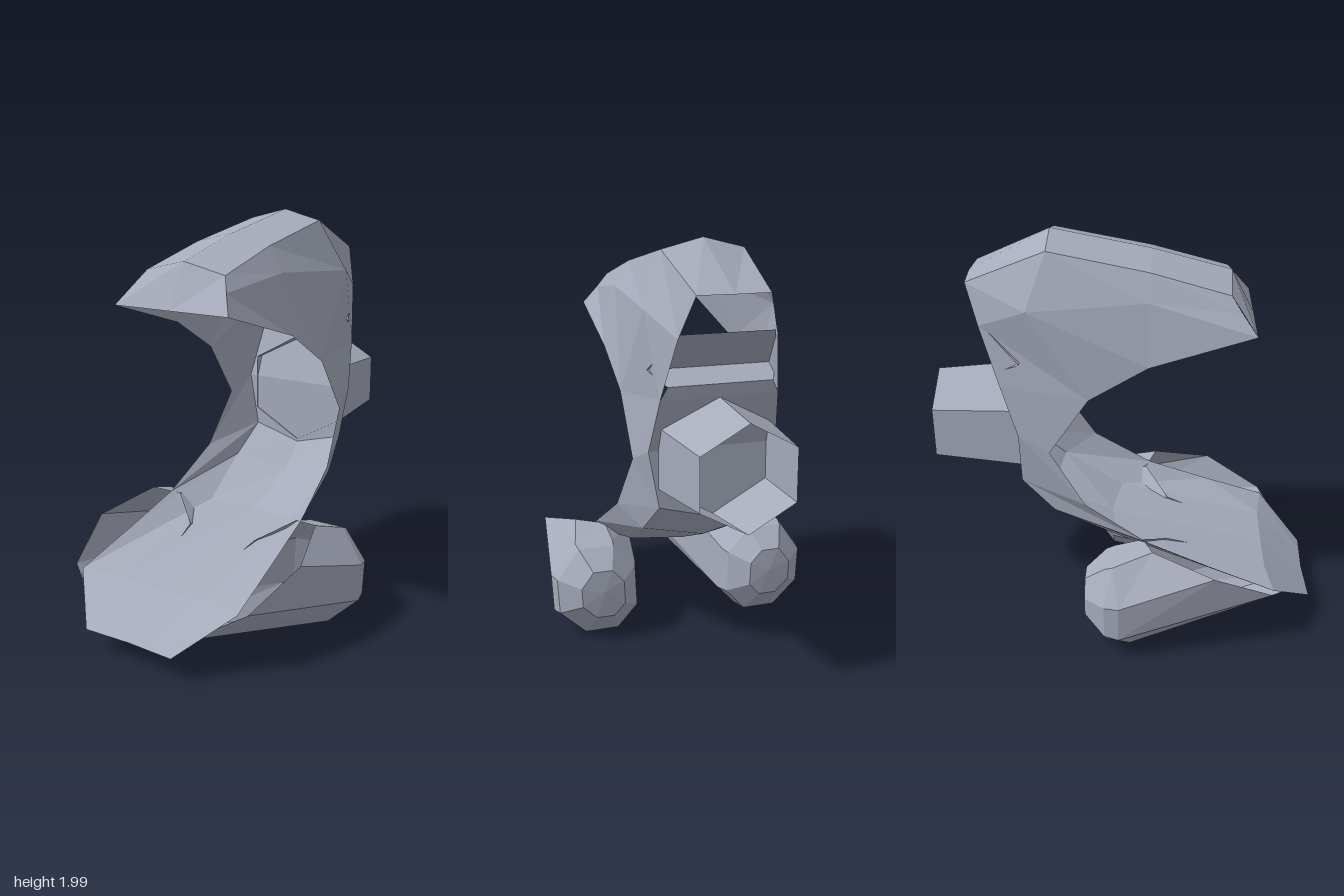
import * as THREE from 'three';

const grey = new THREE.MeshStandardMaterial({ color: 0xa6abbb, flatShading: true, side: THREE.DoubleSide });
grey.name = 'cool grey';

// Faceted sheet through rows of points
function sheet(name, rows) {
  const pos = [];
  const tri = (a, b, c) => pos.push(...a, ...b, ...c);
  for (let i = 0; i < rows.length - 1; i++) {
    for (let j = 0; j < rows[i].length - 1; j++) {
      const a = rows[i][j], b = rows[i][j + 1], c = rows[i + 1][j + 1], d = rows[i + 1][j];
      tri(a, b, c);
      tri(a, c, d);
    }
  }
  const geo = new THREE.BufferGeometry();
  geo.setAttribute('position', new THREE.Float32BufferAttribute(pos, 3));
  geo.computeVertexNormals();
  const mesh = new THREE.Mesh(geo, grey);
  mesh.name = name;
  return mesh;
}

// Half row from the left edge to the middle, completed on the other side
const mirrored = (row) => [...row, ...row.slice(0, -1).reverse().map(([x, y, z]) => [-x, y, z])];
const symmetric = (name, rows) => sheet(name, rows.map(mirrored));

function pair(group, name, rows) {
  for (const side of [1, -1]) {
    const mesh = sheet((side > 0 ? 'left' : 'right') + name, rows);
    mesh.scale.x = side;
    group.add(mesh);
  }
}

export function createModel() {
  const model = new THREE.Group();
  model.name = 'model';

  // Hood, back to front
  const sideBack = [0.28, 1.32, -0.6], sideMid = [0.34, 1.28, -0.18];
  model.add(symmetric('hood', [
    [sideBack, [0.23, 1.6, -0.69], [0.17, 1.79, -0.75], [0, 1.79, -0.76]],
    [sideMid, [0.31, 1.7, -0.46], [0.2, 1.95, -0.37], [0, 2, -0.37]],
    [[0.34, 1.45, 0.1], [0.28, 1.74, 0.1], [0.21, 1.86, 0.1], [0, 1.91, 0.1]],
    [[0.32, 1.6, 0.59], [0.26, 1.69, 0.52], [0.22, 1.76, 0.47], [0, 1.81, 0.48]],
  ]));
  model.add(symmetric('hoodLip', [
    [[0.22, 1.76, 0.47], [0, 1.81, 0.48]],
    [[0.32, 1.6, 0.59], [0, 1.6, 0.59]],
  ]));

  // Neck sides below the hood
  const neckFront = [0.34, 1, -0.37], neckBack = [0.31, 1.07, -0.52];
  pair(model, 'Neck', [[sideBack, sideMid], [neckBack, neckFront]]);

  // Back wall with a folded groove under the rear opening
  model.add(symmetric('backWall', [
    [[0.22, 1.62, -0.69], [0, 1.62, -0.69]],
    [[0.31, 1.44, -0.5], [0, 1.44, -0.5]],
    [[0.25, 1.38, -0.61], [0, 1.38, -0.61]],
    [[0.28, 1.32, -0.6], [0, 1.32, -0.6]],
    [neckBack, [0, 1.07, -0.52]],
  ]));

  // Channel sweeping down and forward into the tongue
  model.add(symmetric('ramp', [
    [neckFront, neckBack, [0, 1.07, -0.52]],
    [[0.37, 0.73, -0.2], [0.26, 0.8, -0.52], [0, 0.73, -0.52]],
    [[0.4, 0.54, 0.1], [0.29, 0.65, -0.36], [0, 0.6, -0.4]],
    [[0.43, 0.42, 0.42], [0.25, 0.48, -0.05], [0, 0.47, -0.09]],
    [[0.46, 0.31, 0.73], [0.25, 0.31, 0.7], [0, 0.3, 0.7]],
    [[0.25, 0.13, 0.94], [0.12, 0.13, 0.935], [0, 0.13, 0.93]],
  ]));

  // Open six-sided barrel at the back
  const barrelGeo = new THREE.CylinderGeometry(0.245, 0.29, 0.43, 6, 1, true);
  barrelGeo.rotateX(-Math.PI / 2);
  const barrel = new THREE.Mesh(barrelGeo, grey);
  barrel.name = 'barrel';
  barrel.scale.x = 1.05;
  barrel.position.set(0, 1.035, -0.73);
  model.add(barrel);

  // Tapered eight-sided feet with rounded rear ends
  const back = [
    [0.34, 0.01, 0.02], [0.52, 0.01, 0.02], [0.66, 0.14, -0.03], [0.67, 0.33, -0.03],
    [0.55, 0.49, -0.06], [0.36, 0.49, -0.06], [0.24, 0.36, -0.05], [0.23, 0.13, -0.02],
  ];
  const front = [
    [0.15, 0.19, 0.84], [0.27, 0.19, 0.86], [0.51, 0.32, 0.72], [0.6, 0.47, 0.43],
    [0.5, 0.55, 0.13], [0.36, 0.53, 0.08], [0.2, 0.43, 0.2], [0.12, 0.28, 0.65],
  ];
  const rearRing = (s, z) => back.map(([x, y]) => [0.44 + (x - 0.44) * s, 0.28 + (y - 0.28) * s, z]);
  const rings = [rearRing(0, -0.21), rearRing(0.5, -0.2), rearRing(0.93, -0.1), back, front];
  pair(model, 'Foot', rings.map((r) => [...r, r[0]]));

  return model;
}
